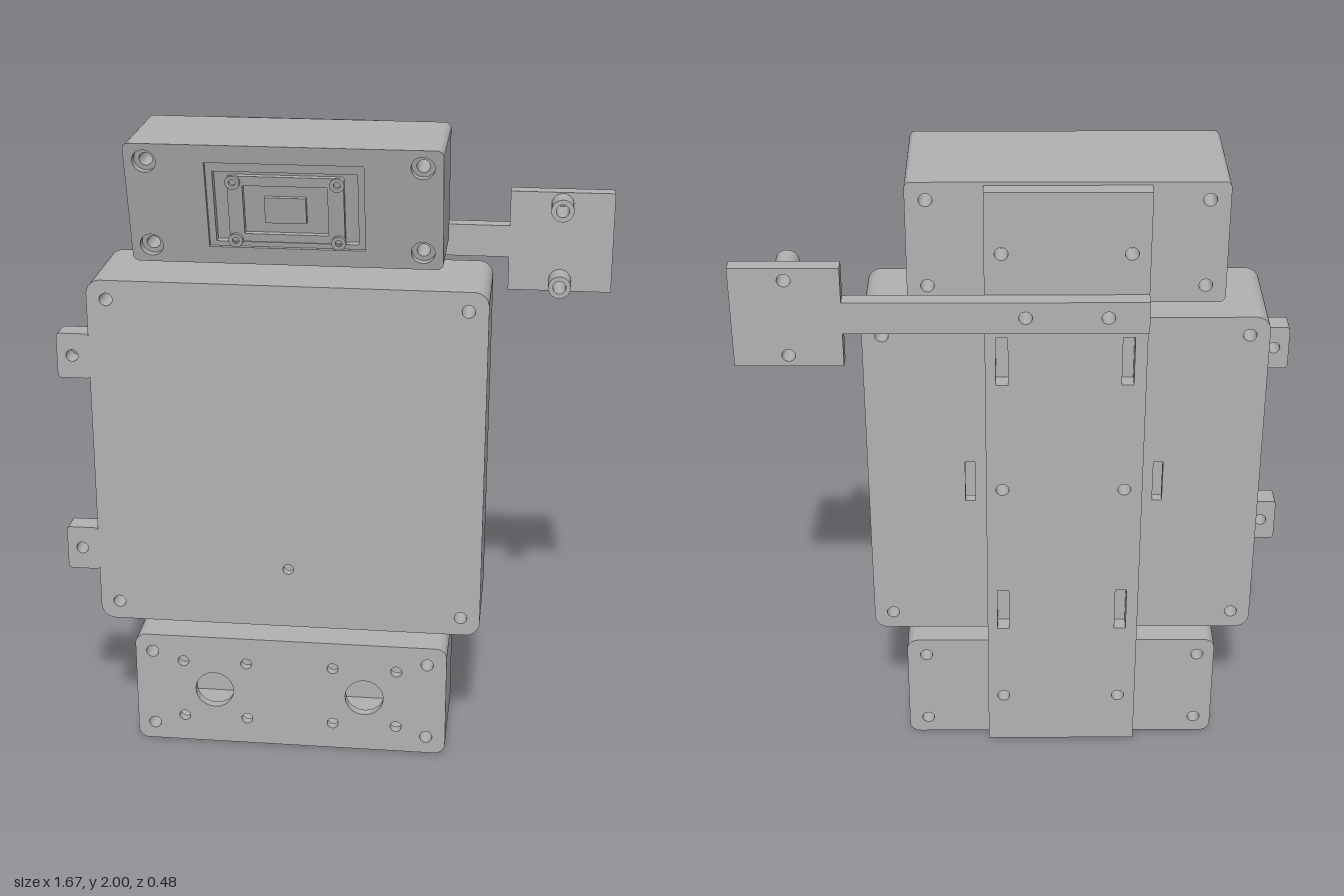
import * as THREE from 'three';
import { toCreasedNormals } from 'three/addons/utils/BufferGeometryUtils.js';

const WALL = 0.03;
const MID = -0.135; // shared vertical axis of the stacked housings
const SLOPE = 0.1 / 0.38, HEAD_Y = 1.62; // lean of the head's face

// Trace a rounded rectangle on a Shape or Path
function roundRect(p, x0, y0, x1, y1, r = 0) {
  if (r <= 0) {
    p.moveTo(x0, y0).lineTo(x1, y0).lineTo(x1, y1).lineTo(x0, y1).closePath();
    return p;
  }
  p.moveTo(x0 + r, y0);
  p.lineTo(x1 - r, y0).absarc(x1 - r, y0 + r, r, -Math.PI / 2, 0, false);
  p.lineTo(x1, y1 - r).absarc(x1 - r, y1 - r, r, 0, Math.PI / 2, false);
  p.lineTo(x0 + r, y1).absarc(x0 + r, y1 - r, r, Math.PI / 2, Math.PI, false);
  p.lineTo(x0, y0 + r).absarc(x0 + r, y0 + r, r, Math.PI, Math.PI * 1.5, false);
  return p;
}
const rect = (...a) => roundRect(new THREE.Shape(), ...a);
const slot = (...a) => roundRect(new THREE.Path(), ...a);
const hole = (x, y, r = 0.02) => new THREE.Path().absarc(x, y, r, 0, Math.PI * 2, true);
const disc = (x, y, r) => new THREE.Shape().absarc(x, y, r, 0, Math.PI * 2, false);

export function createModel() {
  const model = new THREE.Group();
  const gray = new THREE.MeshStandardMaterial({ color: 0xb2b2b2 });

  // Extrude a shape from z0 to z1; tilt leans the back and/or front cap
  function slab(parent, name, shape, holes, z0, z1, tilt = [0, 0]) {
    shape.holes.push(...holes);
    const geo = new THREE.ExtrudeGeometry(shape, { depth: z1 - z0, bevelEnabled: false, curveSegments: 10 });
    const p = geo.attributes.position;
    for (let i = 0; i < p.count; i++) {
      const lean = p.getZ(i) > (z1 - z0) / 2 ? tilt[1] : tilt[0];
      p.setZ(i, p.getZ(i) + z0 + lean * (p.getY(i) - HEAD_Y));
    }
    const mesh = new THREE.Mesh(toCreasedNormals(geo, 0.6), gray);
    mesh.name = name;
    parent.add(mesh);
    return mesh;
  }

  // Hollow housing: back wall, side walls, front wall and screw tubes
  function housing(name, [x0, y0, x1, y1, r], z0, z1, lean, screws, backHoles, frontHoles) {
    const g = new THREE.Group();
    g.name = name;
    const bores = () => screws.map(([x, y]) => hole(x, y));
    slab(g, 'backWall', rect(x0, y0, x1, y1, r), [...bores(), ...backHoles], z0, z0 + WALL);
    slab(g, 'sideWalls', rect(x0, y0, x1, y1, r),
      [slot(x0 + 0.02, y0 + 0.02, x1 - 0.02, y1 - 0.02, Math.max(r - 0.02, 0.005))],
      z0 + WALL, z1 - WALL, [0, lean]);
    slab(g, 'frontWall', rect(x0, y0, x1, y1, r),
      [...(lean ? screws.map(([x, y]) => hole(x, y, 0.035)) : bores()), ...frontHoles], z1 - WALL, z1, [lean, lean]);
    for (const [x, y] of screws)
      slab(g, 'screwTube', disc(x, y, 0.037), [hole(x, y)], z0 + WALL, z1 - WALL, [0, lean]);
    model.add(g);
    return g;
  }
  const corners = (xa, xb, ya, yb) => [[xa, ya], [xb, ya], [xa, yb], [xb, yb]];
  const plateX = [-0.32, 0.055];

  // Main box with lugs
  const box = housing('mainHousing', [-0.74, 0.44, 0.47, 1.57, 0.045], -0.14, 0.19, 0,
    corners(-0.68, 0.41, 0.5, 1.51),
    [slot(0.14, 0.93, 0.17, 1.07), slot(-0.44, 0.93, -0.41, 1.07), ...plateX.map(x => hole(x, 1))],
    [hole(MID, 0.64, 0.017)]);
  for (const y of [0.61, 1.255])
    slab(box, 'sideLug', rect(-0.84, y, -0.739, y + 0.143, 0.012), [hole(-0.793, y + 0.072, 0.019)], 0.12, 0.189);

  // Lower box with two large round openings
  const small = [-0.48, -0.275, 0.005, 0.21].flatMap(x => [0.095, 0.295].map(y => hole(x, y, 0.018)));
  housing('lowerHousing', [-0.635, 0.005, 0.37, 0.385, 0.035], -0.14, 0.19, 0,
    corners(-0.58, 0.308, 0.063, 0.325),
    plateX.map(x => hole(x, 0.195)),
    [...small, hole(-0.38, 0.195, 0.062), hole(0.107, 0.195, 0.062)]);

  // Head with leaning face
  const lean = [SLOPE, SLOPE];
  const head = housing('head', [-0.6, HEAD_Y, 0.33, 2, 0.02], -0.14, 0.14, SLOPE,
    corners(-0.54, 0.27, 1.675, 1.945),
    plateX.map(x => hole(x, 1.8)),
    [slot(-0.365, 1.675, 0.1, 1.945)]);

  // Recessed sensor window in the head
  slab(head, 'recessFloor', rect(-0.39, 1.65, 0.125, 1.965), [], 0.08, 0.095, lean);
  slab(head, 'recessFrame', rect(-0.365, 1.675, 0.1, 1.945), [slot(-0.345, 1.69, 0.08, 1.915)], 0.095, 0.125, lean);
  slab(head, 'sensorPlate', rect(-0.305, 1.682, 0.038, 1.9, 0.01), [slot(-0.26, 1.715, -0.01, 1.87)], 0.095, 0.12, lean);
  slab(head, 'sensor', rect(-0.198, 1.75, -0.075, 1.832), [], 0.095, 0.115, lean);
  for (const [x, y] of corners(-0.287, 0.02, 1.695, 1.882))
    slab(head, 'sensorScrew', disc(x, y, 0.022), [hole(x, y, 0.01)], 0.12, 0.135, lean);

  // Long back plate joining the housings
  const plateHoles = plateX.flatMap(x => [
    ...[0.195, 1, 1.8].map(y => hole(x, y)),
    slot(x - 0.018, 0.47, x + 0.018, 0.62), slot(x - 0.018, 1.37, x + 0.018, 1.53),
  ]);
  const armHoles = () => [-0.255, -0.015].map(x => hole(x, 1.62));
  slab(model, 'backPlate', rect(-0.375, 0.015, 0.105, 1.99), [...plateHoles, ...armHoles()], -0.19, -0.14);

  // Side arm with end bracket and two hollow posts
  const arm = new THREE.Group();
  arm.name = 'sideArm';
  model.add(arm);
  const armShape = new THREE.Shape([
    [-0.375, 1.57], [0.515, 1.57], [0.515, 1.465], [0.835, 1.465],
    [0.835, 1.78], [0.515, 1.78], [0.515, 1.67], [-0.375, 1.67],
  ].map(([x, y]) => new THREE.Vector2(x, y)));
  const posts = [1.5, 1.742];
  slab(arm, 'armBracket', armShape, [...armHoles(), ...posts.map(y => hole(0.675, y))], -0.24, -0.19);
  for (const y of posts) slab(arm, 'post', disc(0.675, y, 0.035), [hole(0.675, y)], -0.19, -0.11);

  return model;
}
